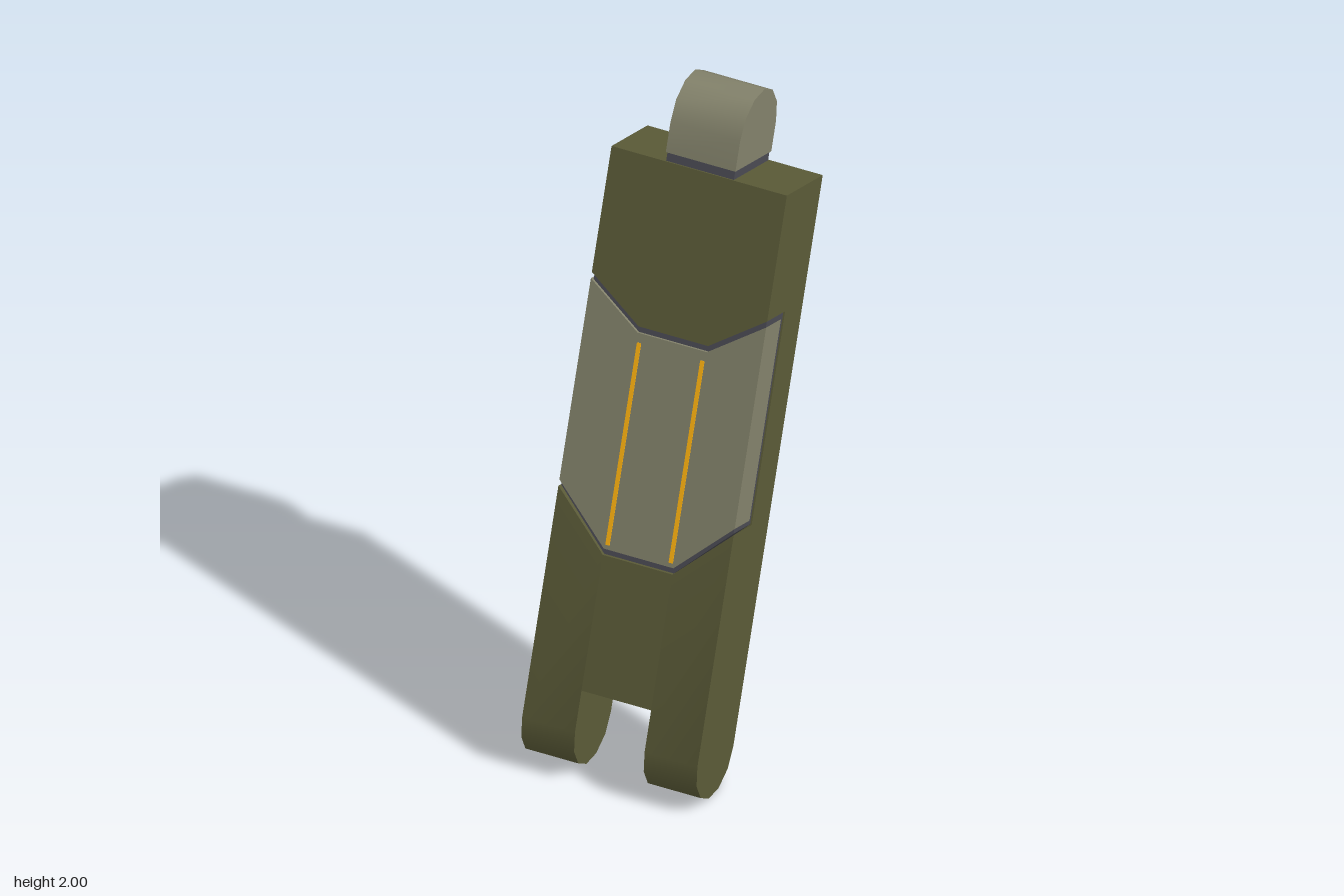
import * as THREE from 'three';
import { mergeGeometries, toCreasedNormals } from 'three/addons/utils/BufferGeometryUtils.js';

const R = 0.127;            // half thickness of the arm
const HALF = 0.277;         // half width
const SLOT = 0.11;          // half width of fork slot and knob
const TOP = 1.738;          // body top, measured from the lower pivot
const PIVOT = 1.858;        // upper pivot
const LOW = 0.54, HIGH = 1.235;      // pocket ends at the middle
const LOW_RISE = 0.165, HIGH_RISE = 0.12; // how far the ends climb at the sides

const mat = (color) => new THREE.MeshStandardMaterial({ color });
const olive = mat(0x5a5a37), khaki = mat(0x82816a), dark = mat(0x4a4a52), yellow = mat(0xffb310);

const shapeOf = (pts) => new THREE.Shape(pts.map(([a, b]) => new THREE.Vector2(a, b)));

// Half circle of six facets, from angle a0 counter-clockwise
const halfCircle = (cy, a0) => Array.from({ length: 7 }, (_, i) => {
  const a = a0 + (i * Math.PI) / 6;
  return [R * Math.cos(a), cy + R * Math.sin(a)];
});

// Extrudes a (z, y) side profile across x from x0 to x1
function acrossX(pts, x0, x1) {
  const g = new THREE.ExtrudeGeometry(shapeOf(pts), { depth: x1 - x0, bevelEnabled: false });
  g.rotateY(-Math.PI / 2);
  g.translate(x1, 0, 0);
  return g;
}

// Moves the pocket ends up at the outer sides
function slantPocket(g) {
  const p = g.attributes.position;
  for (let i = 0; i < p.count; i++) {
    if (Math.abs(p.getX(i)) < HALF - 0.001) continue;
    const y = p.getY(i);
    if (Math.abs(y - LOW) < 1e-4) p.setY(i, y + LOW_RISE);
    if (Math.abs(y - HIGH) < 1e-4) p.setY(i, y + HIGH_RISE);
  }
  return g;
}

// Eight-cornered plate with slanted ends, shrunk by inset along y
function plate(inset, halfWidth, z0, z1) {
  const lo = LOW + inset, hi = HIGH - inset;
  const g = new THREE.ExtrudeGeometry(shapeOf([
    [-SLOT, lo], [SLOT, lo], [halfWidth, lo + LOW_RISE], [halfWidth, hi + HIGH_RISE],
    [SLOT, hi], [-SLOT, hi], [-halfWidth, hi + HIGH_RISE], [-halfWidth, lo + LOW_RISE],
  ]), { depth: z1 - z0, bevelEnabled: false });
  g.translate(0, 0, z0);
  return g;
}

export function createModel() {
  const model = new THREE.Group();
  const arm = new THREE.Group();
  arm.name = 'tiltedArm';
  arm.position.set(0, R, 0.316);
  arm.rotation.x = -THREE.MathUtils.degToRad(20);
  model.add(arm);

  const add = (name, geometry, material) => {
    const m = new THREE.Mesh(geometry, material);
    m.name = name;
    arm.add(m);
    return m;
  };

  // Body: two rounded fork sides and a shorter middle, all with the front pocket
  const front = [[R, LOW], [0, LOW], [0, HIGH], [R, HIGH], [R, TOP], [-R, TOP]];
  const forkProfile = [...halfCircle(0, Math.PI), ...front];
  const middleProfile = [[-R, R], [R, R], ...front];
  const body = mergeGeometries([
    slantPocket(acrossX(forkProfile, -HALF, -SLOT)),
    acrossX(middleProfile, -SLOT, SLOT),
    slantPocket(acrossX(forkProfile, SLOT, HALF)),
  ]);
  add('forkedBody', toCreasedNormals(body, 0.6), olive);

  // Dark lining of the pocket and the cover panel in it
  add('pocketLining', plate(0.001, HALF - 0.005, 0, R - 0.01), dark);
  add('coverPanel', plate(0.019, HALF, 0.022, R), khaki);

  // Thin stripes on the panel
  for (const side of [-1, 1]) {
    const stripe = add(side > 0 ? 'leftStripe' : 'rightStripe',
      new THREE.BoxGeometry(0.013, 0.615, 0.008), yellow);
    stripe.position.set(side * 0.1, 0.88, R - 0.002);
  }

  // Rounded knob on a dark neck
  const neck = add('knobNeck', new THREE.BoxGeometry(SLOT * 2 - 0.006, 0.034, R * 2 - 0.012), dark);
  neck.position.y = TOP + 0.012;
  const knob = acrossX([[-R, 1.765], [R, 1.765], ...halfCircle(PIVOT, 0)], -SLOT, SLOT);
  add('hingeKnob', toCreasedNormals(knob, 0.6), khaki);

  return model;
}
